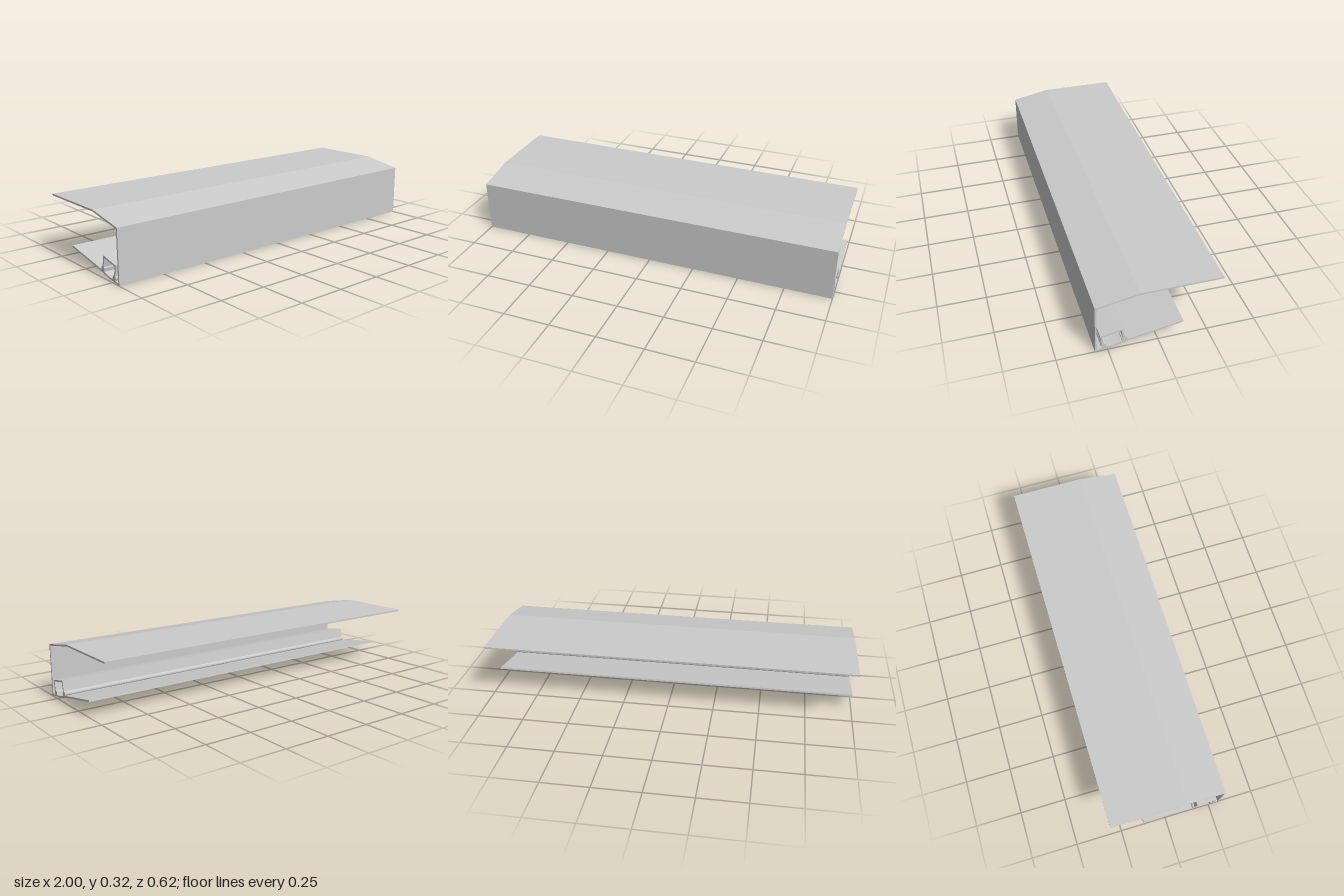
import * as THREE from 'three';
import { toCreasedNormals } from 'three/addons/utils/BufferGeometryUtils.js';

const LENGTH = 2;
const WALL = 0.009;
const material = new THREE.MeshStandardMaterial({ color: 0xcccccc });
const v = (z, y) => new THREE.Vector2(z, y);

// Extrude a (z, y) outline along the full length of x
function profile(name, outline) {
  const raw = new THREE.ExtrudeGeometry(new THREE.Shape(outline), { depth: LENGTH, bevelEnabled: false });
  raw.rotateY(-Math.PI / 2).translate(LENGTH / 2, 0, 0);
  const mesh = new THREE.Mesh(toCreasedNormals(raw, 0.15), material);
  mesh.name = name;
  return mesh;
}

// Outline of a constant-thickness sheet around a centre line, with mitred corners
function sheet(points, thickness = WALL) {
  const left = [], right = [];
  points.forEach((p, i) => {
    const a = points[Math.max(i - 1, 0)], b = points[Math.min(i + 1, points.length - 1)];
    const into = (i > 0 ? p.clone().sub(a) : b.clone().sub(p)).normalize();
    const out = (i < points.length - 1 ? b.clone().sub(p) : into.clone()).normalize();
    const n = v(-into.y, into.x);
    const miter = n.clone().add(v(-out.y, out.x)).normalize();
    miter.multiplyScalar(thickness / 2 / miter.dot(n));
    left.push(p.clone().add(miter));
    right.push(p.clone().sub(miter));
  });
  return left.concat(right.reverse());
}

// Closed arc of points for the rounded beads
function bead(z, y, r, steps = 20) {
  return Array.from({ length: steps }, (_, i) => {
    const t = (i / steps) * Math.PI * 2;
    return v(z + r * Math.cos(t), y + r * Math.sin(t));
  });
}

export function createModel() {
  const model = new THREE.Group();
  model.name = 'channelProfile';

  // Top flange, sloped shoulder, front wall and short bottom lip
  model.add(profile('outerCover', sheet([
    v(-0.312, 0.3175), v(0.097, 0.3175), v(0.3075, 0.2785), v(0.3075, 0.0055), v(0.268, 0.0125),
  ])));

  // Sloped rear flange of the underside
  model.add(profile('lowerFlange', sheet([v(0.162, 0.034), v(-0.126, 0.0855)])));

  // Bowed strip closing the gap in the underside
  const bow = new THREE.QuadraticBezierCurve(v(0.27, 0.0135), v(0.215, 0.0145), v(0.154, 0.0365));
  model.add(profile('curvedStrip', sheet(bow.getPoints(16))));

  // Inverted U rail above the strip
  model.add(profile('innerRail', sheet([
    v(0.27, 0.024), v(0.2815, 0.0905), v(0.1795, 0.1105), v(0.166, 0.036),
  ])));

  // Beads and hooked feet where the rail clips on
  model.add(profile('frontBead', bead(0.2685, 0.028, 0.0135)));
  model.add(profile('rearBead', bead(0.165, 0.048, 0.0125)));
  model.add(profile('frontFoot', [v(0.271, 0.034), v(0.257, 0.038), v(0.252, 0.013), v(0.268, 0.011)]));
  model.add(profile('rearFoot', [v(0.181, 0.052), v(0.163, 0.056), v(0.156, 0.034), v(0.177, 0.03)]));

  return model;
}
